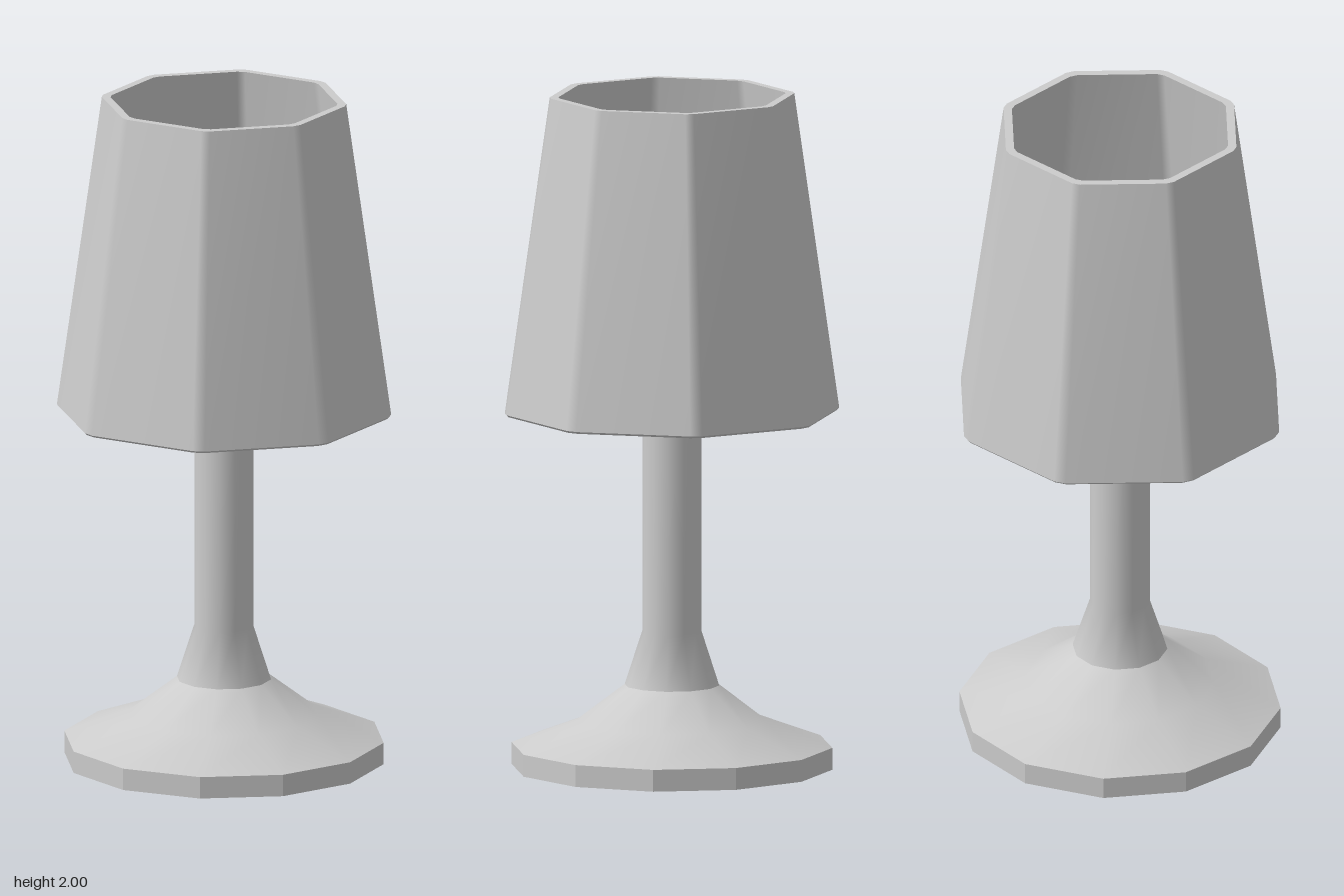
import * as THREE from 'three';

const material = new THREE.MeshStandardMaterial({ color: 0xcccccc });

// Angles of the stem and base (12 sides) and of the bevelled octagonal shade
const twelve = Array.from({ length: 12 }, (_, i) => (i * Math.PI) / 6);
const bevelledOctagon = [];
for (let i = 0; i < 8; i++) {
  for (const side of [-1, 1]) bevelledOctagon.push((i * Math.PI) / 4 + side * 0.036);
}

// Sweeps a [radius, height] profile round the given angles.
// Area-weighted normals keep wide faces flat and narrow bevels soft.
function band(profile, angles, flat = false) {
  const n = angles.length;
  const positions = [];
  const index = [];
  for (const [r, y] of profile) {
    for (const a of angles) positions.push(r * Math.sin(a), y, r * Math.cos(a));
  }
  for (let i = 0; i < profile.length - 1; i++) {
    for (let j = 0; j < n; j++) {
      const k = (j + 1) % n;
      const a = i * n + j, b = i * n + k, c = b + n, d = a + n;
      if (profile[i][0] > 0) index.push(a, b, c);
      else index.push(a, c, d);
      if (profile[i][0] > 0 && profile[i + 1][0] > 0) index.push(a, c, d);
    }
  }
  let geometry = new THREE.BufferGeometry();
  geometry.setAttribute('position', new THREE.Float32BufferAttribute(positions, 3));
  geometry.setIndex(index);
  if (flat) geometry = geometry.toNonIndexed();
  geometry.computeVertexNormals();
  return geometry;
}

function addPart(parent, name, profile, angles, flat) {
  const mesh = new THREE.Mesh(band(profile, angles, flat), material);
  mesh.name = name;
  parent.add(mesh);
}

export function createModel() {
  const lamp = new THREE.Group();
  lamp.name = 'tableLamp';

  // Base: underside, faceted edge and sloping top
  const base = new THREE.Group();
  base.name = 'base';
  addPart(base, 'baseUnderside', [[0, 0], [0.475, 0]], twelve, true);
  addPart(base, 'baseEdge', [[0.475, 0], [0.475, 0.065]], twelve, true);
  addPart(base, 'baseSlope', [[0.475, 0.065], [0.28, 0.138], [0.14, 0.245]], twelve);

  // Stem: flared foot, straight post and flat top
  const stem = new THREE.Group();
  stem.name = 'stem';
  addPart(stem, 'stemPost', [[0.14, 0.245], [0.088, 0.405], [0.088, 1.5]], twelve);
  addPart(stem, 'stemTop', [[0.088, 1.5], [0, 1.5]], twelve, true);

  // Shade: open tapered shell with thickness
  const shade = new THREE.Group();
  shade.name = 'shade';
  addPart(shade, 'shadeOuter', [[0.495, 1.061], [0.362, 2]], bevelledOctagon);
  addPart(shade, 'shadeTopRim', [[0.362, 2], [0.336, 2]], bevelledOctagon, true);
  addPart(shade, 'shadeInner', [[0.336, 2], [0.47, 1.055]], bevelledOctagon);
  addPart(shade, 'shadeBottomRim', [[0.47, 1.055], [0.489, 1.055], [0.495, 1.061]], bevelledOctagon, true);

  lamp.add(base, stem, shade);
  return lamp;
}
